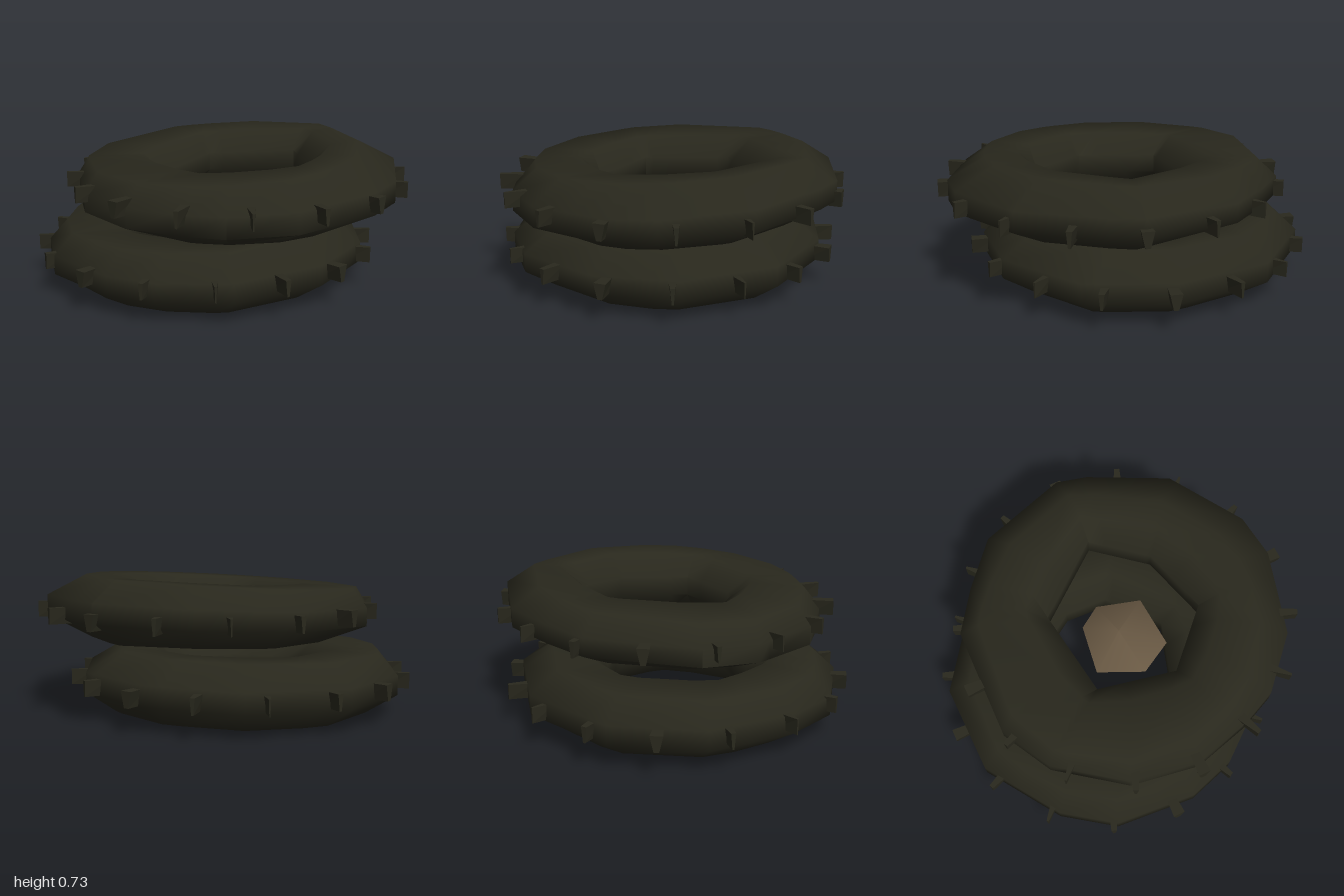
import * as THREE from 'three';
import { toCreasedNormals } from 'three/addons/utils/BufferGeometryUtils.js';

const rubber = new THREE.MeshStandardMaterial({ color: 0x29281d });
rubber.name = 'dark rubber';
const earth = new THREE.MeshStandardMaterial({ color: 0x685843 });
earth.name = 'brown core';

// outer, inner: outline corners as [degrees from +x towards +z, radius]
// top, bottom: sidewall planes as [height, slope in x, slope in z]
// shoulder, heel: where the sidewalls end, as a fraction from hole to tread
// skew: how far the shoulder widens towards the front left corner
const tires = [
  {
    name: 'lowerTire', x: -0.08, y: 0.18, z: 0.04,
    top: [0.155, 0, -0.025], bottom: [-0.167, 0, -0.012],
    shoulder: 0.7, heel: 0.66, skew: 0.1,
    outer: [[5, 0.85], [39, 0.87], [64, 0.868], [82, 0.868], [111, 0.88], [132, 0.857],
      [164, 0.874], [196, 0.883], [232, 0.87], [268, 0.85], [300, 0.87], [335, 0.86]],
    inner: [[45, 0.396], [95, 0.42], [150, 0.41], [207, 0.41], [260, 0.386], [295, 0.407], [346, 0.412]],
  },
  {
    name: 'upperTire', x: 0.08, y: 0.545, z: -0.04,
    top: [0.15, 0.018, -0.06], bottom: [-0.17, -0.015, -0.05],
    shoulder: 0.72, heel: 0.52, skew: 0.15,
    outer: [[30, 0.865], [53, 0.856], [67, 0.834], [89, 0.85], [114, 0.864], [142, 0.876], [162, 0.88],
      [200, 0.88], [217, 0.85], [237, 0.88], [270, 0.89], [281, 0.865], [312, 0.87], [343, 0.876], [359, 0.87]],
    inner: [[13, 0.4], [72, 0.385], [137, 0.41], [207, 0.416], [271, 0.49], [316, 0.39]],
  },
];

// Radius of a straight-sided outline at a given angle
function radiusAt(outline, deg) {
  const n = outline.length;
  let k = outline.findIndex(([d]) => d > deg);
  if (k < 0) k = 0;
  const [a, ra] = outline[(k + n - 1) % n];
  const [b, rb] = outline[k];
  const sin = (d) => Math.sin(THREE.MathUtils.degToRad(d));
  return ra * rb * sin(b - a) / (ra * sin(deg - a) + rb * sin(b - deg));
}

function tireGeometry({ outer, inner, top, bottom, shoulder, heel, skew }) {
  const angles = [...new Set([...outer, ...inner].map(([d]) => d))].sort((a, b) => a - b);
  const pos = [], index = [], m = 8, n = angles.length;
  const plane = ([h, sx, sz], x, z) => h + sx * x + sz * z;
  angles.forEach((deg, i) => {
    const t = THREE.MathUtils.degToRad(deg);
    const r0 = radiusAt(inner, deg), r1 = radiusAt(outer, deg);
    const edge = shoulder + skew * Math.cos(t - Math.PI * 0.75);
    // Cross-section: fraction from hole to tread, fraction from bottom to top
    const section = [[1, 0.66], [edge, 1], [0.25, 1], [0, 0.66], [0, 0.34], [0.25, 0], [heel, 0], [1, 0.34]];
    section.forEach(([f, w], j) => {
      const r = r0 + (r1 - r0) * f;
      const x = r * Math.cos(t), z = r * Math.sin(t);
      pos.push(x, THREE.MathUtils.lerp(plane(bottom, x, z), plane(top, x, z), w), z);
      const a = i * m + j, b = i * m + (j + 1) % m;
      const c = ((i + 1) % n) * m + j, d = ((i + 1) % n) * m + (j + 1) % m;
      index.push(a, b, c, b, d, c);
    });
  });
  const g = new THREE.BufferGeometry();
  g.setAttribute('position', new THREE.Float32BufferAttribute(pos, 3));
  g.setIndex(index);
  return toCreasedNormals(g, 1.2);
}

// Tread lug along +x, narrower at its lower edge
function lugGeometry(innerWidth, outerWidth) {
  const g = new THREE.BoxGeometry(0.13, 0.084, 1);
  const p = g.attributes.position;
  for (let i = 0; i < p.count; i++) {
    const w = p.getX(i) > 0 ? outerWidth : innerWidth;
    p.setZ(i, p.getZ(i) * w * (p.getY(i) < 0 ? 0.4 : 1));
  }
  g.translate(0.855, 0, 0);
  const flat = g.toNonIndexed();
  flat.computeVertexNormals();
  return flat;
}

// Low six-sided mound with an irregular rim and a flat underside
function moundGeometry(height) {
  const rim = [[0, -0.25], [-0.12, -0.17], [-0.16, 0.1], [0.08, 0.21], [0.26, 0.11], [0.24, -0.18]];
  const pos = [];
  rim.forEach(([x, z], i) => {
    const [x2, z2] = rim[(i + 1) % rim.length];
    pos.push(0.03, height, -0.02, x, 0, z, x2, 0, z2);
    pos.push(0.03, 0, -0.02, x2, 0, z2, x, 0, z);
  });
  const g = new THREE.BufferGeometry();
  g.setAttribute('position', new THREE.Float32BufferAttribute(pos, 3));
  return toCreasedNormals(g, 1.2);
}

export function createModel() {
  const model = new THREE.Group();
  const lugs = [[0.045, 0.065], [0.05, 0.025], [0.045, 0.012], [0.05, 0.03]]
    .map(([a, b]) => lugGeometry(a, b));

  for (const tire of tires) {
    const group = new THREE.Group();
    group.name = tire.name;
    group.position.set(tire.x, tire.y, tire.z);
    const ring = new THREE.Mesh(tireGeometry(tire), rubber);
    ring.name = 'tireRing';
    group.add(ring);
    // Sixteen lugs around the tread
    for (let k = 0; k < 16; k++) {
      const lug = new THREE.Mesh(lugs[k % 4], rubber);
      lug.name = 'treadLug';
      lug.rotation.y = k * Math.PI / 8;
      group.add(lug);
    }
    model.add(group);
  }

  // Mound in the middle of the stack
  const core = new THREE.Mesh(moundGeometry(0.14), earth);
  core.name = 'core';
  core.position.y = 0.39;
  model.add(core);
  return model;
}
